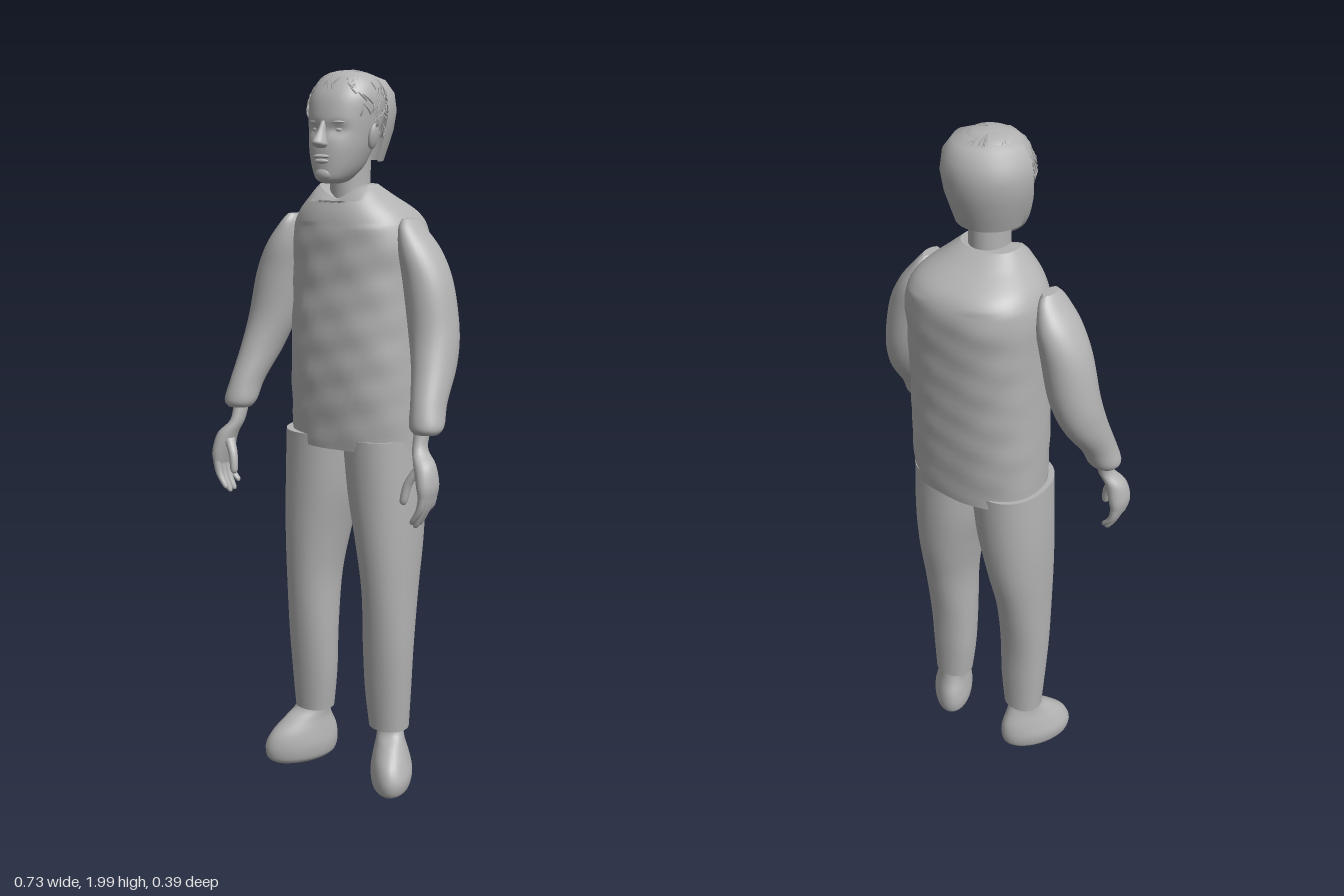
import * as THREE from 'three';
import { mergeGeometries } from 'three/addons/utils/BufferGeometryUtils.js';

const grey = new THREE.MeshStandardMaterial({ color: 0xb2b2b2 });
grey.name = 'plain grey';
const greyOpen = grey;
greyOpen.side = THREE.DoubleSide;

// Smooth interpolation through rows of numbers
function spline(rows, t) {
  const n = rows.length - 1;
  const i = Math.min(Math.floor(t * n), n - 1), f = t * n - i;
  const p = (k) => rows[Math.max(0, Math.min(n, k))];
  return rows[0].map((_, c) => {
    const a = p(i - 1)[c], b = p(i)[c], d = p(i + 1)[c], e = p(i + 2)[c];
    return b + 0.5 * f * (d - a + f * (2 * a - 5 * b + 4 * d - e + f * (3 * (b - d) + e - a)));
  });
}

// Horizontal rings from bottom to top; row = [y, xMin, xMax, zMin, zMax]
function loft(rows, { side = 1, seg = 32, sub = 5, power = 1, rule = null } = {}) {
  const rings = (rows.length - 1) * sub, pos = [], idx = [];
  const add = (x, y, z) => {
    const v = new THREE.Vector3(x, y, z);
    if (rule) rule(v);
    pos.push(v.x * side, v.y, v.z);
  };
  const ring = (r) => {
    const [y, x0, x1, z0, z1] = spline(rows, r / rings);
    for (let i = 0; i < seg; i++) {
      const a = side * i / seg * Math.PI * 2, c = Math.cos(a), s = Math.sin(a);
      const bend = (v) => Math.sign(v) * Math.abs(v) ** power;
      add((x0 + x1) / 2 + (x1 - x0) / 2 * bend(c), y, (z0 + z1) / 2 + (z1 - z0) / 2 * bend(s));
    }
  };
  for (let r = 0; r <= rings; r++) ring(r);
  for (let r = 0; r < rings; r++) for (let i = 0; i < seg; i++) {
    const j = (i + 1) % seg, a = r * seg + i, b = r * seg + j;
    idx.push(a, a + seg, b, b, a + seg, b + seg);
  }
  // end caps with their own rims
  for (const r of [0, rings]) {
    const base = pos.length / 3;
    ring(r);
    const [y, x0, x1, z0, z1] = spline(rows, r / rings);
    add((x0 + x1) / 2, y, (z0 + z1) / 2);
    for (let i = 0; i < seg; i++) {
      const a = base + i, b = base + (i + 1) % seg;
      if (r) idx.push(a, base + seg, b); else idx.push(a, b, base + seg);
    }
  }
  const g = new THREE.BufferGeometry();
  g.setAttribute('position', new THREE.Float32BufferAttribute(pos, 3));
  g.setIndex(idx);
  g.computeVertexNormals();
  return g;
}

export function createModel() {
  const model = new THREE.Group();
  model.name = 'standingMan';
  const part = (name, geometry, parent = model) => {
    const m = new THREE.Mesh(geometry, grey);
    m.name = name;
    parent.add(m);
    return m;
  };
  const ball = (name, x, y, z, rx, ry, rz, parent) => {
    const m = part(name, new THREE.SphereGeometry(1, 18, 12), parent);
    m.position.set(x, y, z);
    m.scale.set(rx, ry, rz);
    return m;
  };

  // Shirt body with soft creases and a V neckline
  part('shirt', loft([
    [0.99, -0.19, 0.20, -0.165, 0.11], [1.15, -0.19, 0.20, -0.175, 0.12],
    [1.3, -0.187, 0.195, -0.182, 0.122], [1.45, -0.185, 0.193, -0.19, 0.115],
    [1.56, -0.185, 0.192, -0.195, 0.114], [1.62, -0.165, 0.165, -0.175, 0.108],
    [1.67, -0.115, 0.11, -0.1, 0.09], [1.7, -0.085, 0.075, -0.055, 0.07],
  ], {
    seg: 48, sub: 8, power: 0.85, rule: (v) => {
      const w = 0.0025 * Math.sin(v.y * 55 + v.x * 14) * Math.sin(v.x * 33 - v.y * 13);
      if (v.y < 1.6) v.z += Math.sign(v.z) * w;
      if (v.y > 1.66 && v.z > 0.03) v.y -= 0.04 * Math.max(0, 1 - Math.abs(v.x) / 0.08);
    },
  }));

  for (const side of [1, -1]) {
    const tag = side > 0 ? 'left' : 'right';

    // Trouser leg and shoe
    const leg = new THREE.Group();
    leg.name = tag + 'Leg';
    leg.position.x = side > 0 ? 0 : -0.008;
    model.add(leg);
    part('trouserLeg', loft([
      [0.165, 0.07, 0.185, -0.055, 0.05], [0.28, 0.058, 0.192, -0.06, 0.06],
      [0.42, 0.055, 0.198, -0.068, 0.072], [0.58, 0.053, 0.2, -0.095, 0.085],
      [0.72, 0.032, 0.203, -0.125, 0.095], [0.86, 0.004, 0.203, -0.142, 0.1],
      [1.02, -0.012, 0.196, -0.15, 0.105],
    ], { side, power: 0.92 }), leg);
    part('shoe', loft([
      [0, 0.095, 0.195, -0.05, 0.11], [0.015, 0.083, 0.207, -0.068, 0.126],
      [0.05, 0.078, 0.212, -0.075, 0.13], [0.09, 0.083, 0.2, -0.07, 0.115],
      [0.13, 0.09, 0.185, -0.052, 0.075], [0.16, 0.09, 0.178, -0.04, 0.04],
      [0.2, 0.09, 0.175, -0.035, 0.035],
    ], { side, rule: (v) => { v.x += v.z * 0.4; } }), leg);

    // Sleeve bent at the elbow
    const arm = new THREE.Group();
    arm.name = tag + 'Arm';
    model.add(arm);
    part('sleeve', loft([
      [1.075, 0.275, 0.345, 0.08, 0.145], [1.095, 0.263, 0.355, 0.06, 0.155],
      [1.15, 0.255, 0.347, 0.03, 0.14], [1.24, 0.228, 0.342, -0.035, 0.105],
      [1.33, 0.2, 0.333, -0.064, 0.08], [1.45, 0.178, 0.308, -0.072, 0.073],
      [1.53, 0.165, 0.27, -0.07, 0.07], [1.59, 0.165, 0.222, -0.048, 0.055],
      [1.615, 0.172, 0.2, -0.025, 0.035],
    ], { side, sub: 6 }), arm);

    // Hand: wrist and palm, four fingers, thumb
    part('palm', loft([
      [0.915, 0.325, 0.36, 0.115, 0.19], [0.95, 0.315, 0.366, 0.11, 0.192],
      [1.0, 0.3, 0.355, 0.112, 0.18], [1.04, 0.285, 0.322, 0.105, 0.155],
      [1.1, 0.28, 0.325, 0.085, 0.135],
    ], { side, seg: 20 }), arm);
    for (let i = 0; i < 4; i++) {
      const z = 0.125 + i * 0.018, low = [0.855, 0.835, 0.832, 0.845][i];
      const row = (y, x, r) => [y, x - r, x + r, z - r, z + r];
      part('finger', loft([
        row(low, 0.311, 0.004), row(low + 0.01, 0.315, 0.009),
        row(0.89, 0.336, 0.011), row(0.94, 0.344, 0.012),
      ], { side, seg: 10, sub: 3 }), arm);
    }
    part('thumb', loft([
      [0.893, 0.279, 0.287, 0.172, 0.18], [0.905, 0.273, 0.294, 0.165, 0.187],
      [0.95, 0.28, 0.305, 0.155, 0.182], [0.99, 0.3, 0.335, 0.14, 0.172],
    ], { side, seg: 10, sub: 4 }), arm);
  }

  // Neck and head
  const head = new THREE.Group();
  head.name = 'head';
  model.add(head);
  part('neck', loft([
    [1.62, -0.06, 0.06, -0.05, 0.065], [1.7, -0.052, 0.052, -0.052, 0.068],
    [1.8, -0.052, 0.052, -0.055, 0.07],
  ]), head);
  part('face', loft([
    [1.705, -0.022, 0.022, 0.06, 0.115], [1.715, -0.04, 0.04, 0.03, 0.137],
    [1.745, -0.06, 0.06, -0.01, 0.142], [1.79, -0.076, 0.076, -0.04, 0.142],
    [1.83, -0.085, 0.085, -0.06, 0.136], [1.875, -0.092, 0.092, -0.08, 0.133],
    [1.925, -0.094, 0.094, -0.08, 0.12], [1.965, -0.078, 0.078, -0.06, 0.092],
    [1.985, -0.053, 0.053, -0.035, 0.065], [1.993, -0.015, 0.015, 0, 0.03],
  ], {
    seg: 48, sub: 6, power: 0.92, rule: (v) => {
      // eye sockets pressed into the front
      if (v.z > 0.06) for (const s of [1, -1]) {
        const d = ((v.x - s * 0.034) / 0.022) ** 2 + ((v.y - 1.843) / 0.016) ** 2;
        v.z -= 0.012 * Math.exp(-d);
      }
    },
  }), head);
  part('nose', loft([
    [1.797, -0.012, 0.012, 0.12, 0.155], [1.805, -0.019, 0.019, 0.12, 0.168],
    [1.815, -0.017, 0.017, 0.12, 0.172], [1.84, -0.009, 0.009, 0.12, 0.152],
    [1.865, -0.008, 0.008, 0.11, 0.137],
  ], { seg: 16 }), head);
  ball('upperLip', 0, 1.775, 0.141, 0.025, 0.006, 0.011, head);
  ball('lowerLip', 0, 1.763, 0.14, 0.022, 0.007, 0.011, head);
  ball('chin', 0, 1.73, 0.128, 0.026, 0.02, 0.018, head);
  for (const s of [1, -1]) {
    ball('eye', s * 0.034, 1.842, 0.108, 0.015, 0.008, 0.012, head);
    ball('brow', s * 0.035, 1.862, 0.115, 0.024, 0.006, 0.012, head).rotation.y = s * 0.35;
    ball('ear', s * 0.088, 1.825, 0.03, 0.01, 0.034, 0.02, head).rotation.z = -s * 0.2;
  }

  // Open half bowl of hair behind the ears
  const profile = [[0.09, 1.76], [0.1, 1.79], [0.116, 1.84], [0.124, 1.89], [0.118, 1.935],
    [0.094, 1.968], [0.05, 1.985], [0.001, 1.99]].map(([r, y]) => new THREE.Vector2(r, y));
  const bowl = part('hairShell', new THREE.LatheGeometry(profile, 32, Math.PI / 2, Math.PI), head);
  bowl.position.set(0.004, 0, 0.02);
  bowl.scale.z = 1.05;

  // Short loose locks scattered over the crown and temples
  let seed = 7;
  const rand = () => (seed = (seed * 16807) % 2147483647) / 2147483647;
  const locks = [];
  while (locks.length < 170) {
    const up = -0.35 + 1.35 * rand(), turn = rand() * Math.PI * 2, drift = (rand() - 0.5) * 0.7;
    const on = (u, t, lift) => {
      const r = Math.sqrt(Math.max(0, 1 - u * u)) * lift;
      return new THREE.Vector3(0.104 * r * Math.cos(t), 1.885 + 0.108 * u * lift, 0.012 + 0.112 * r * Math.sin(t));
    };
    const p = on(up, turn, 1);
    const onFace = p.z > 0.045 && p.y < 1.94 && !(Math.abs(p.x) > 0.07 && p.y > 1.88);
    if (onFace) continue;
    const curve = new THREE.CatmullRomCurve3([p, on(up - 0.12, turn + drift / 2, 1.05), on(up - 0.24, turn + drift, 1.01)]);
    locks.push(new THREE.TubeGeometry(curve, 4, 0.0028, 4));
  }
  part('hairLocks', mergeGeometries(locks), head);
  return model;
}
